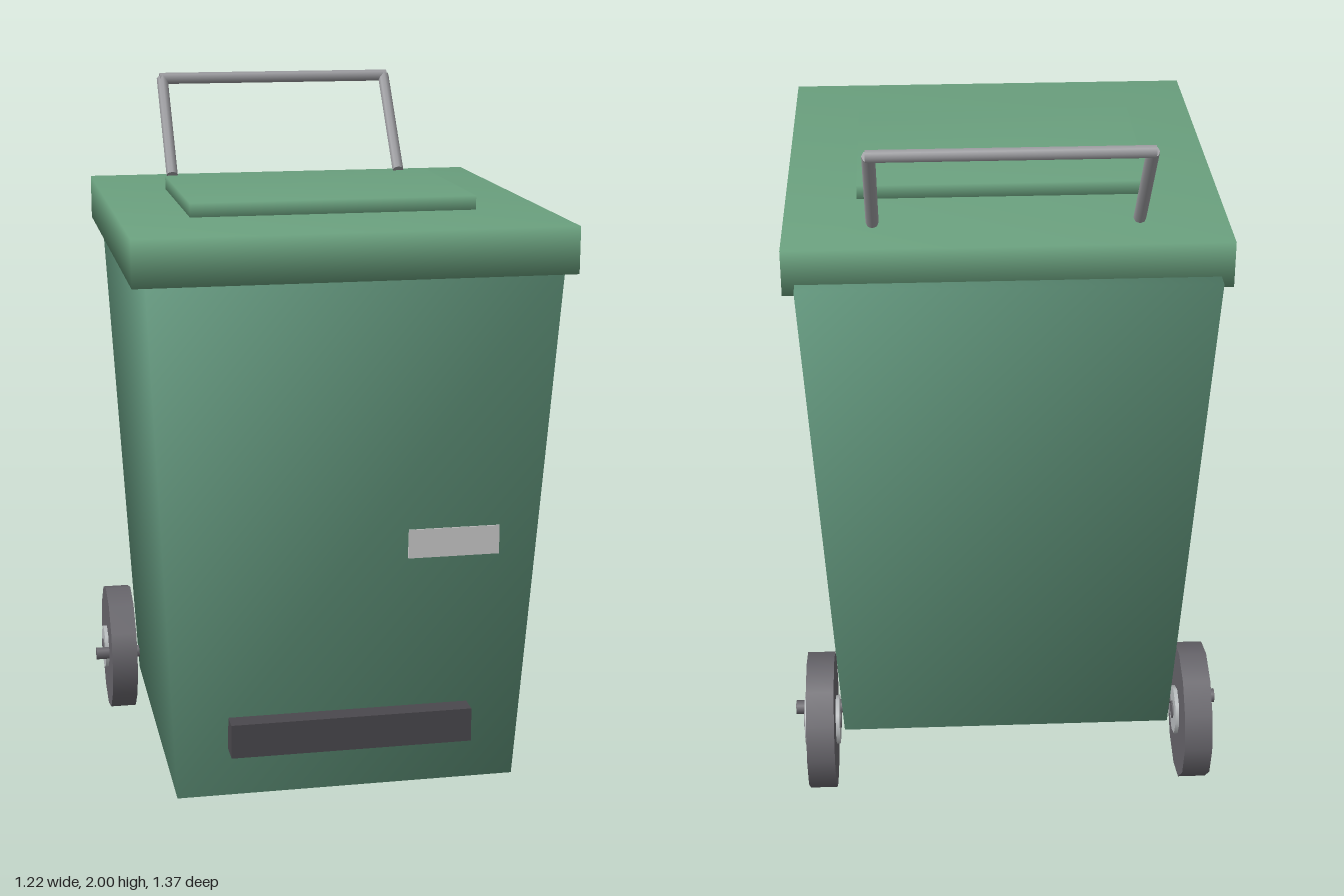
import * as THREE from 'three';
import { mergeVertices } from 'three/addons/utils/BufferGeometryUtils.js';

const mat = (color) => new THREE.MeshStandardMaterial({ color });
const bodyGreen = mat(0x5f9279);
const lidGreen = mat(0x6ba17f);
const rubber = mat(0x66646a);
const darkPlastic = mat(0x4a484d);
const hubGrey = mat(0xb8bcbe);
const steel = mat(0x9a9a9e);
const labelWhite = mat(0xd4d4d0);

// Box from min/max corners
function boxGeometry([x0, y0, z0], [x1, y1, z1]) {
  return new THREE.BoxGeometry(x1 - x0, y1 - y0, z1 - z0)
    .translate((x0 + x1) / 2, (y0 + y1) / 2, (z0 + z1) / 2);
}

// Shared corners give soft shading across the box edges
function soften(geometry) {
  geometry.deleteAttribute('normal');
  geometry.deleteAttribute('uv');
  const merged = mergeVertices(geometry);
  merged.computeVertexNormals();
  return merged;
}

// Straight rod between two points
function rodGeometry(a, b, radius, sides) {
  const from = new THREE.Vector3(...a);
  const dir = new THREE.Vector3(...b).sub(from);
  const length = dir.length();
  const turn = new THREE.Quaternion().setFromUnitVectors(new THREE.Vector3(0, 1, 0), dir.normalize());
  return new THREE.CylinderGeometry(radius, radius, length, sides)
    .translate(0, length / 2, 0)
    .applyQuaternion(turn)
    .translate(...a);
}

export function createModel() {
  const model = new THREE.Group();
  model.name = 'wheeledBin';
  const add = (name, geometry, material, parent = model) => {
    const mesh = new THREE.Mesh(geometry, material);
    mesh.name = name;
    parent.add(mesh);
    return mesh;
  };

  // Tapered body: narrow at the bottom, wide at the rim
  const body = boxGeometry([-1, 0.13, -1], [1, 1.605, 1]);
  const p = body.attributes.position;
  for (let i = 0; i < p.count; i++) {
    const top = p.getY(i) > 1;
    p.setX(i, Math.sign(p.getX(i)) * (top ? 0.547 : 0.473));
    p.setZ(i, p.getZ(i) > 0 ? (top ? 0.672 : 0.548) : (top ? -0.583 : -0.457));
  }
  add('body', soften(body), bodyGreen);

  // Lid with raised panel
  add('lid', soften(boxGeometry([-0.58, 1.575, -0.537], [0.58, 1.7, 0.685])), lidGreen);
  add('lidPanel', soften(boxGeometry([-0.39, 1.69, -0.207], [0.39, 1.738, 0.355])), lidGreen);

  // Front bar and label
  add('frontBar', boxGeometry([-0.333, 0.27, 0.54], [0.333, 0.365, 0.625]), darkPlastic);
  add('label', boxGeometry([0.153, 0.805, 0.59], [0.403, 0.885, 0.615]), labelWhite);

  // Push handle
  const handle = new THREE.Group();
  handle.name = 'handle';
  model.add(handle);
  for (const s of [1, -1]) {
    add(s > 0 ? 'leftHandlePost' : 'rightHandlePost',
      rodGeometry([s * 0.347, 1.715, -0.4], [s * 0.347, 1.983, -0.618], 0.017, 8), steel, handle);
  }
  add('handleGrip', rodGeometry([-0.355, 1.983, -0.618], [0.355, 1.983, -0.618], 0.017, 8), steel, handle);

  // Wheels with hub and bolt
  for (const s of [1, -1]) {
    const wheel = new THREE.Group();
    wheel.name = s > 0 ? 'leftWheel' : 'rightWheel';
    wheel.position.set(s * 0.533, 0.195, -0.49);
    model.add(wheel);
    const disc = (name, r, width, sides, material) =>
      add(name, new THREE.CylinderGeometry(r, r, width, sides).rotateZ(Math.PI / 2), material, wheel);
    disc('tyre', 0.195, 0.078, 12, rubber);
    disc('hub', 0.07, 0.1, 8, hubGrey);
    disc('bolt', 0.025, 0.108, 6, rubber);
  }

  // Axle rod
  add('axle', rodGeometry([-0.612, 0.195, -0.428], [0.612, 0.195, -0.428], 0.02, 8), rubber);

  return model;
}
